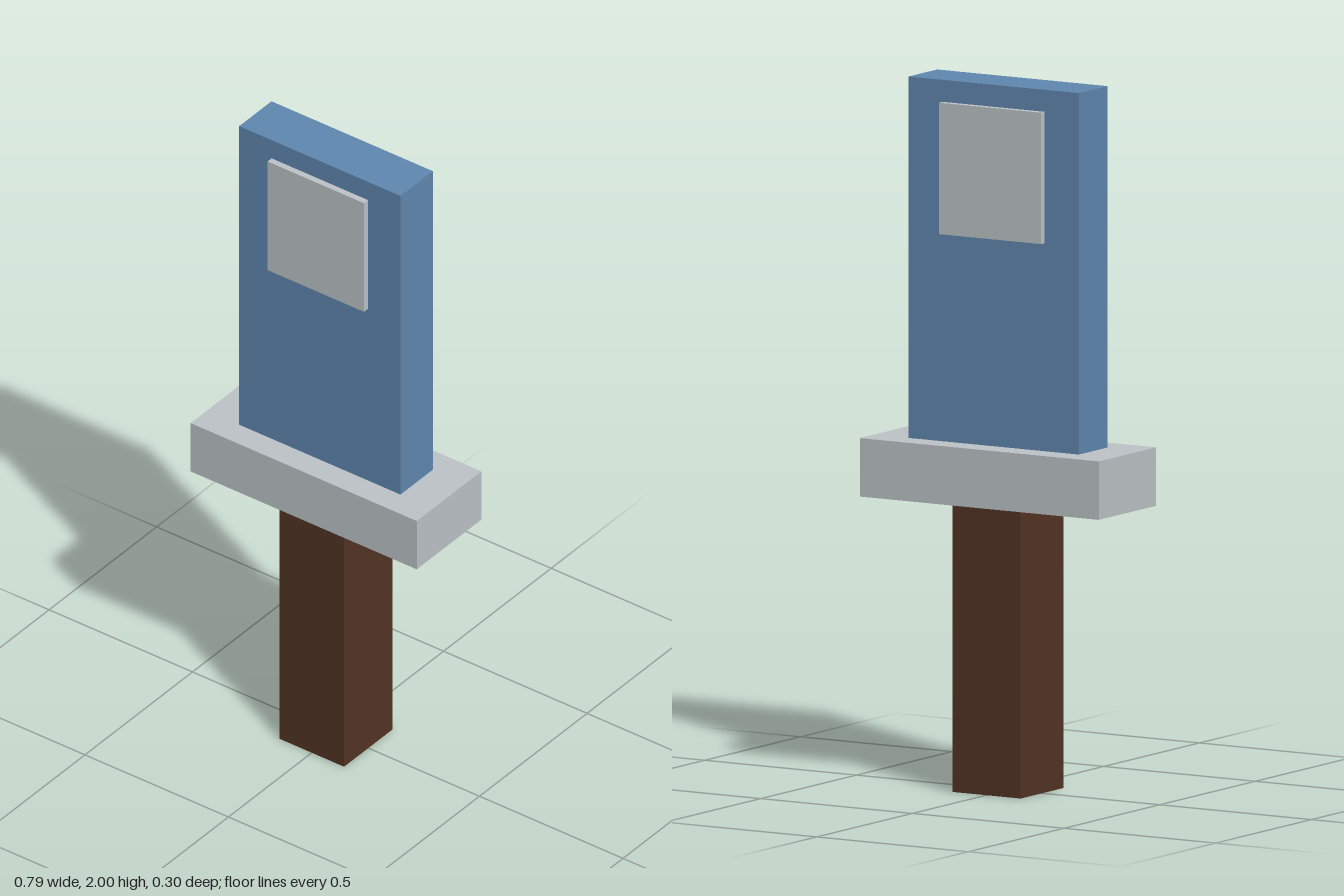
import * as THREE from 'three';

export function createModel() {
  const model = new THREE.Group();
  model.name = 'sword';

  const wood = new THREE.MeshStandardMaterial({ color: 0x533424 });
  wood.name = 'dark brown';
  const silver = new THREE.MeshStandardMaterial({ color: 0xbdc4c7 });
  silver.name = 'silver grey';
  const blue = new THREE.MeshStandardMaterial({ color: 0x6088b0 });
  blue.name = 'steel blue';

  // Box centred on the vertical axis, spanning bottom to top
  const addBlock = (name, material, width, depth, bottom, top) => {
    const mesh = new THREE.Mesh(new THREE.BoxGeometry(width, top - bottom, depth), material);
    mesh.name = name;
    mesh.position.y = (bottom + top) / 2;
    model.add(mesh);
  };

  addBlock('grip', wood, 0.225, 0.225, 0, 0.815);
  addBlock('guard', silver, 0.788, 0.3, 0.815, 0.98);
  addBlock('blade', blue, 0.562, 0.15, 0.98, 2);
  // Inset block runs through the blade and stands proud on both faces
  addBlock('bladeInset', silver, 0.336, 0.188, 1.567, 1.938);

  return model;
}
